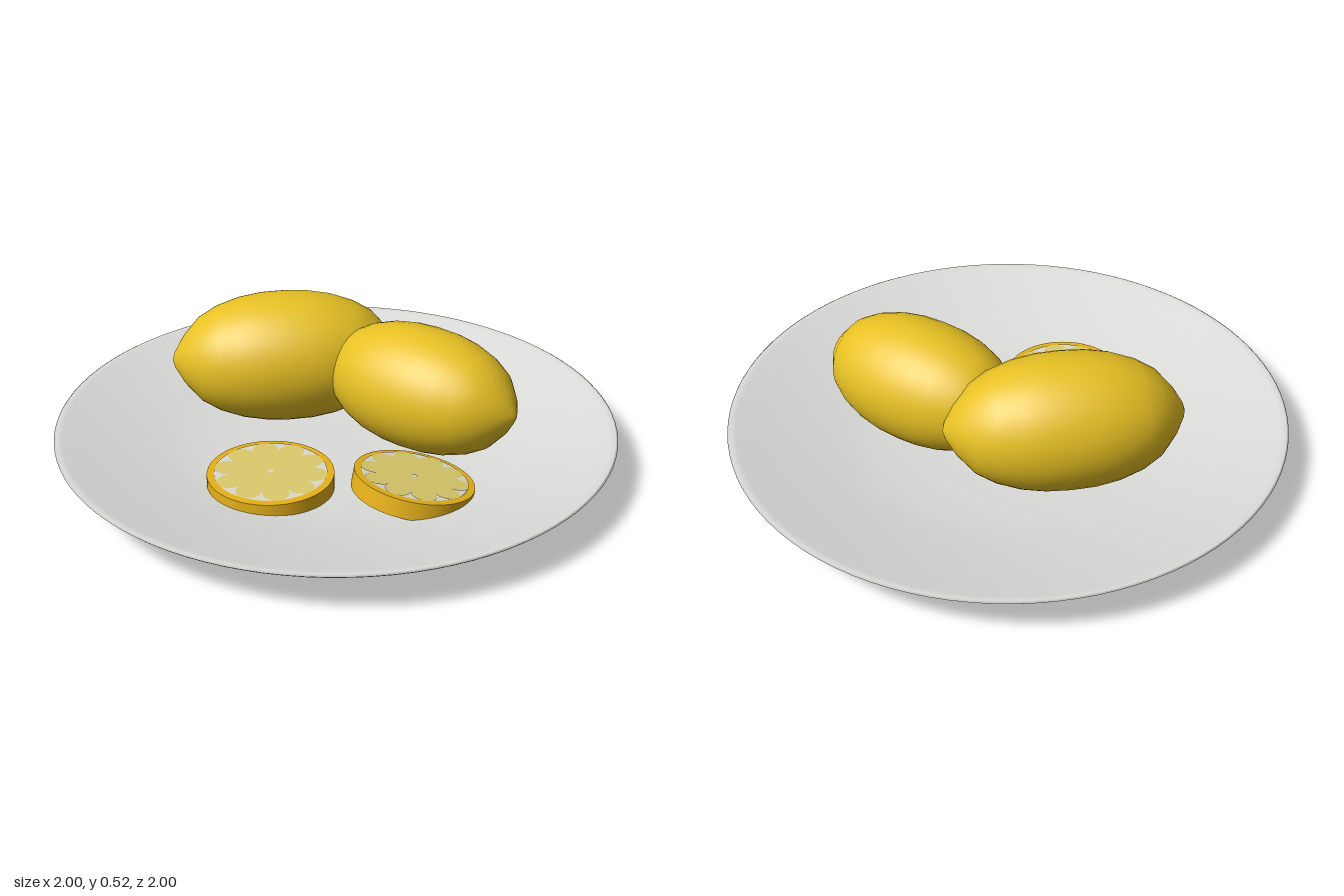
import * as THREE from 'three';

const material = (name, color) => {
  const m = new THREE.MeshStandardMaterial({ color });
  m.name = name;
  return m;
};

const points = (list) => list.map(([x, y]) => new THREE.Vector2(x, y));

function addMesh(parent, name, geometry, mat) {
  const mesh = new THREE.Mesh(geometry, mat);
  mesh.name = name;
  parent.add(mesh);
  return mesh;
}

// Plump fruit: half profile mirrored about its middle, lying along x
function lemonGeometry(halfLength, radius) {
  const half = [[0, 1], [0.2, 0.985], [0.4, 0.925], [0.6, 0.805], [0.76, 0.64], [0.9, 0.36], [0.98, 0.12], [1, 0]];
  const profile = [
    ...half.slice(1).reverse().map(([u, r]) => [r * radius, -u * halfLength]),
    ...half.map(([u, r]) => [r * radius, u * halfLength]),
  ];
  return new THREE.LatheGeometry(points(profile), 40).rotateZ(-Math.PI / 2);
}

// Membrane wedge pointing at the centre, flaring out to the rind
function membraneShape(radius) {
  const r = radius * 0.88, w = radius * 0.2;
  const s = new THREE.Shape();
  s.moveTo(-w, r * 0.985);
  s.quadraticCurveTo(-w * 0.15, r * 0.95, 0, r * 0.74);
  s.quadraticCurveTo(w * 0.15, r * 0.95, w, r * 0.985);
  s.quadraticCurveTo(0, r * 1.03, -w, r * 0.985);
  return s;
}

// Round slice whose top face is centred on its origin
function makeSlice(name, radius, thickness, mats) {
  const slice = new THREE.Group();
  slice.name = name;
  const body = new THREE.CylinderGeometry(radius, radius, thickness, 48);
  addMesh(slice, 'sliceRind', body.translate(0, -thickness / 2, 0), mats.rind);

  const flesh = new THREE.CircleGeometry(radius * 0.89, 48).rotateX(-Math.PI / 2);
  addMesh(slice, 'sliceFlesh', flesh.translate(0, 0.002, 0), mats.flesh);

  const wedge = new THREE.ShapeGeometry(membraneShape(radius), 6).rotateX(-Math.PI / 2);
  for (let i = 0; i < 10; i++) {
    const membrane = addMesh(slice, 'membrane', wedge, mats.pith);
    membrane.position.y = 0.004;
    membrane.rotation.y = (i / 10) * Math.PI * 2;
  }
  const core = new THREE.CircleGeometry(radius * 0.05, 12).rotateX(-Math.PI / 2);
  addMesh(slice, 'sliceCore', core.translate(0, 0.004, 0), mats.pith);
  return slice;
}

export function createModel() {
  const model = new THREE.Group();
  model.name = 'plateOfLemons';
  const mats = {
    plate: material('plateGrey', 0xdcdcda),
    lemon: material('lemonYellow', 0xf2ca26),
    rind: material('rindYellow', 0xebb41a),
    flesh: material('fleshYellow', 0xdccb6c),
    pith: material('pithWhite', 0xdcdaca),
  };

  // Plate: flat foot, flared underside, rolled rim and shallow bowl
  const plateProfile = [
    [0, 0], [0.3, 0], [0.5, 0], [0.53, 0.003], [0.58, 0.024], [0.65, 0.053], [0.72, 0.07], [0.8, 0.087],
    [0.9, 0.114], [0.965, 0.132], [0.993, 0.145], [1, 0.152], [0.992, 0.157], [0.97, 0.153],
    [0.9, 0.133], [0.8, 0.108], [0.7, 0.085], [0.6, 0.064], [0.5, 0.048], [0.35, 0.038], [0.18, 0.034], [0, 0.033],
  ];
  addMesh(model, 'plate', new THREE.LatheGeometry(points(plateProfile), 96), mats.plate);

  // Whole lemons
  const backLemon = addMesh(model, 'backLemon', lemonGeometry(0.42, 0.24), mats.lemon);
  backLemon.position.set(-0.22, 0.285, -0.225);
  backLemon.rotation.y = THREE.MathUtils.degToRad(15);

  const frontLemon = addMesh(model, 'frontLemon', lemonGeometry(0.385, 0.222), mats.lemon);
  frontLemon.position.set(0.3, 0.28, -0.045);
  frontLemon.rotation.y = THREE.MathUtils.degToRad(-28);

  // Cut slices, one flat and one leaning
  const flatSlice = makeSlice('flatSlice', 0.22, 0.062, mats);
  flatSlice.position.set(-0.18, 0.095, 0.31);

  const leaningSlice = makeSlice('leaningSlice', 0.21, 0.065, mats);
  leaningSlice.position.set(0.315, 0.105, 0.283);
  leaningSlice.quaternion.setFromUnitVectors(
    new THREE.Vector3(0, 1, 0), new THREE.Vector3(0.15, 0.98, -0.12).normalize());

  model.add(flatSlice, leaningSlice);
  return model;
}
